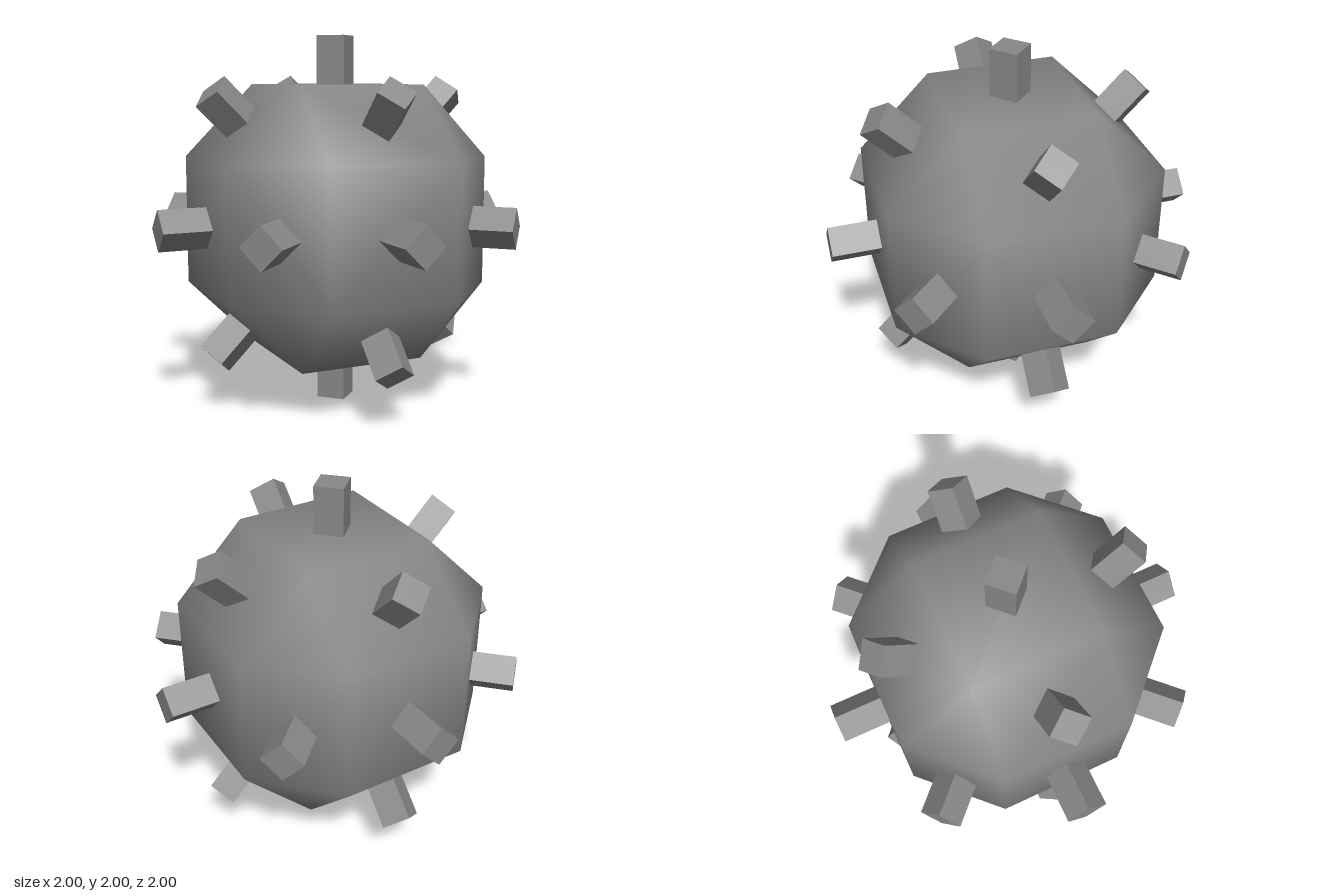
import * as THREE from 'three';
import { mergeVertices } from 'three/addons/utils/BufferGeometryUtils.js';
import { ConvexGeometry } from 'three/addons/geometries/ConvexGeometry.js';

const COLOR = 0x888888;
const FLAT = 0.74;   // distance of the six main faces
const HALF = 0.35;   // half width of those faces
const RADIUS = 0.11; // half diagonal of a spike
const ROOT = 0.62;   // where spikes start inside the body

// Cube with wide bevels on edges and corners, shaded smooth
function bodyGeometry() {
  const points = [];
  for (const sx of [-1, 1]) for (const sy of [-1, 1]) for (const sz of [-1, 1]) {
    points.push(
      new THREE.Vector3(sx * FLAT, sy * HALF, sz * HALF),
      new THREE.Vector3(sx * HALF, sy * FLAT, sz * HALF),
      new THREE.Vector3(sx * HALF, sy * HALF, sz * FLAT)
    );
  }
  const hull = new ConvexGeometry(points);
  hull.deleteAttribute('normal');
  const smooth = mergeVertices(hull, 1e-4);
  // normals point outward, leaning towards the large main faces
  const lean = (c) => Math.sign(c) * Math.abs(c) ** 1.5;
  const p = smooth.attributes.position;
  const normals = new Float32Array(p.count * 3);
  const v = new THREE.Vector3();
  for (let i = 0; i < p.count; i++) {
    v.set(lean(p.getX(i)), lean(p.getY(i)), lean(p.getZ(i))).normalize().toArray(normals, i * 3);
  }
  smooth.setAttribute('normal', new THREE.BufferAttribute(normals, 3));
  return smooth;
}

export function createModel() {
  const model = new THREE.Group();
  model.name = 'spikedBall';

  const body = new THREE.Mesh(bodyGeometry(), new THREE.MeshStandardMaterial({ color: COLOR }));
  body.name = 'body';
  model.add(body);

  // Square spikes, set on edge
  const spikeGeometry = new THREE.CylinderGeometry(RADIUS, RADIUS, 1 - ROOT, 4);
  spikeGeometry.translate(0, (1 + ROOT) / 2, 0);
  const spikeMaterial = new THREE.MeshStandardMaterial({ color: COLOR, flatShading: true });

  // Three crossing rings of spikes, 45 degrees apart; shared axes are made once
  const rings = [
    { name: 'frontRing', turn: [0, 0, 0], steps: [0, 1, 2, 3, 4, 5, 6, 7] },
    { name: 'sideRing', turn: [0, Math.PI / 2, 0], steps: [1, 2, 3, 5, 6, 7] },
    { name: 'levelRing', turn: [Math.PI / 2, 0, 0], steps: [1, 3, 5, 7] }
  ];
  for (const { name, turn, steps } of rings) {
    const ring = new THREE.Group();
    ring.name = name;
    ring.rotation.set(...turn);
    for (const k of steps) {
      const spike = new THREE.Mesh(spikeGeometry, spikeMaterial);
      spike.name = 'spike';
      spike.rotation.z = k * Math.PI / 4;
      ring.add(spike);
    }
    model.add(ring);
  }

  model.position.y = 1;
  return model;
}
